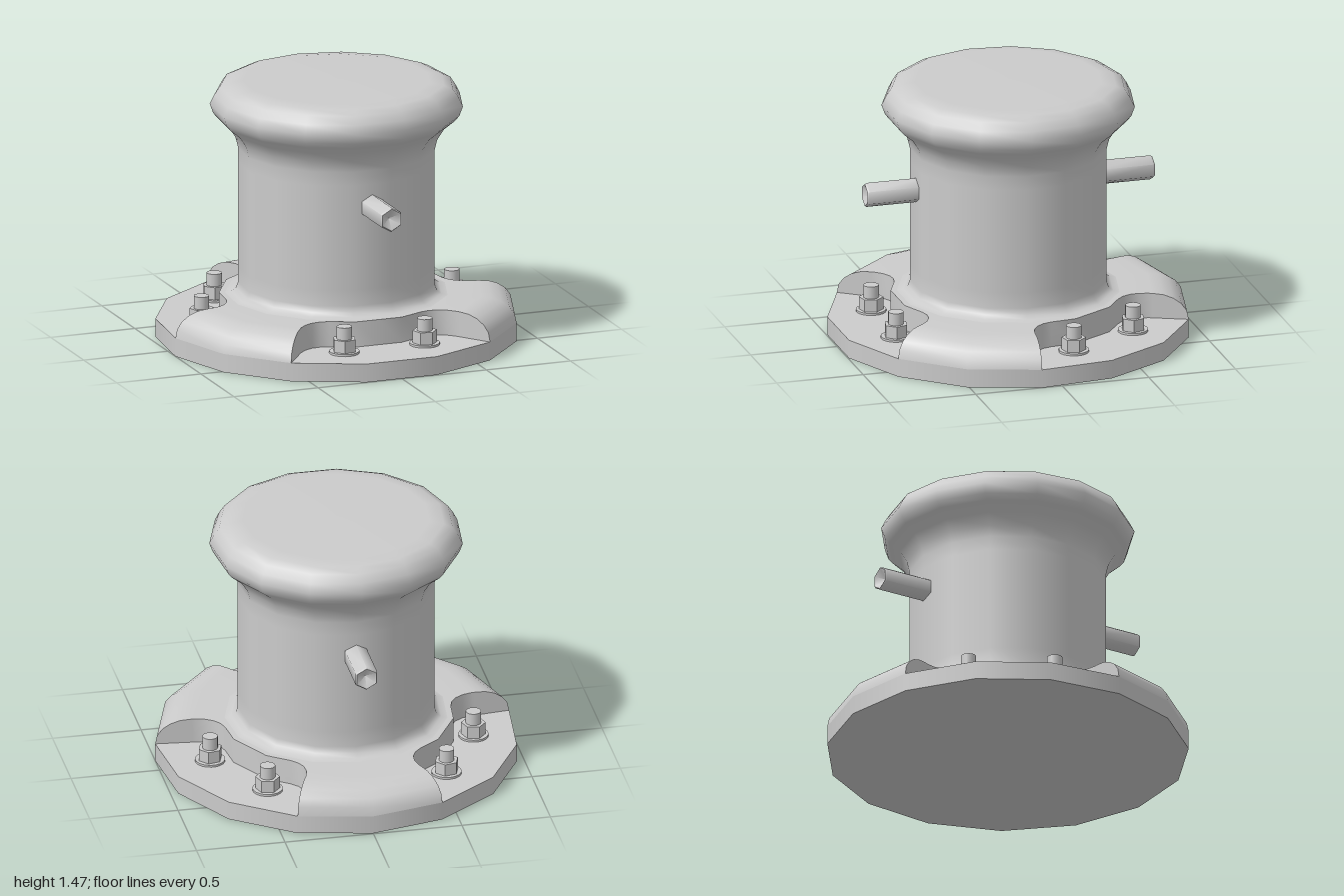
import * as THREE from 'three';
import { toCreasedNormals } from 'three/addons/utils/BufferGeometryUtils.js';

const SIDES = 15;
const R = 1.0055; // corner radius of the base
const FLOOR = 0.105; // height of the base plate
const rad = THREE.MathUtils.degToRad;
const material = new THREE.MeshStandardMaterial({ color: 0xcccccc });

function part(name, geometry, parent) {
  const mesh = new THREE.Mesh(geometry, material);
  mesh.name = name;
  parent.add(mesh);
  return mesh;
}

function lathe(points, sides, start) {
  return new THREE.LatheGeometry(points.map(([x, y]) => new THREE.Vector2(x, y)), sides, start);
}

// Rounded shoulder of the flange, from the column outwards: [radius, height]
const shoulder = [
  [0.5, 0.25], [0.62, 0.25], [0.8, 0.248], [0.86, 0.243], [0.915, 0.225],
  [0.96, 0.195], [0.99, 0.155], [1, FLOOR],
];

function shoulderHeight(r) {
  for (let i = 1; i < shoulder.length; i++) {
    const [r0, h0] = shoulder[i - 1], [r1, h1] = shoulder[i];
    if (r <= r1) return h0 + ((h1 - h0) * (r - r0)) / (r1 - r0);
  }
  return FLOOR;
}

// Raised flange: three lobes with straight-walled bolt bays between them
function flangeGeometry() {
  // Half of a bay and half of a lobe: [degrees from bay centre, radius]
  const half = [
    [0, 0.65], [12, 0.65], [25, 0.65], [29.5, 0.66], [33, 0.685], [35.3, 0.73], [36, 0.78],
    ...shoulder.slice(2).map(([r]) => [36, r]), [60, 1],
  ];
  const outline = [];
  for (let bay = 0; bay < 3; bay++) {
    const mirrored = half.slice(1, -1).reverse().map(([a, r]) => [-a, r]);
    for (const [a, r] of [...mirrored, ...half]) outline.push([a + bay * 120, r]);
  }
  const positions = [], index = [];
  const rows = shoulder.length + 1;
  outline.forEach(([angle, edge]) => {
    // Flat sides of the polygon lie a little inside its corner circle
    const local = (((angle + 12) % 24) + 24) % 24 - 12;
    const scale = (R * Math.cos(rad(12))) / Math.cos(rad(local));
    const put = (r, y) => positions.push(r * scale * Math.sin(rad(angle)), y, r * scale * Math.cos(rad(angle)));
    for (const [r] of shoulder) put(Math.min(r, edge), shoulderHeight(Math.min(r, edge)));
    put(edge, FLOOR);
  });
  for (let i = 0; i < outline.length; i++) {
    const j = (i + 1) % outline.length;
    for (let k = 0; k < rows - 1; k++) {
      const a = i * rows + k, d = j * rows + k;
      index.push(a, a + 1, d + 1, a, d + 1, d);
    }
  }
  const geometry = new THREE.BufferGeometry();
  geometry.setAttribute('position', new THREE.Float32BufferAttribute(positions, 3));
  geometry.setIndex(index);
  return toCreasedNormals(geometry, 0.7);
}

export function createModel() {
  const model = new THREE.Group();
  model.name = 'bollard';
  const body = new THREE.Group();
  body.name = 'bollardBody';
  body.position.z = 0.011; // centres the odd-sided outline
  model.add(body);

  // Base plate and flange
  const plate = part('basePlate', new THREE.CylinderGeometry(R, R, FLOOR, SIDES, 1, false, Math.PI), body);
  plate.position.y = FLOOR / 2;
  part('flange', flangeGeometry(), body);

  // Column with foot fillet, flared neck and rounded head
  part('column', lathe([
    [0.62, 0.25], [0.585, 0.256], [0.56, 0.275], [0.547, 0.31], [0.547, 0.4], [0.547, 1.0],
    [0.547, 1.08], [0.562, 1.14], [0.6, 1.2], [0.66, 1.25], [0.685, 1.28], [0.705, 1.335],
    [0.68, 1.385], [0.65, 1.43], [0.6, 1.453], [0.52, 1.464], [0, 1.465],
  ], SIDES, Math.PI), body);

  // Hexagonal pins with dished ends
  const pinGeometry = toCreasedNormals(lathe([
    [0.07, 0.48], [0.07, 0.82], [0.063, 0.83], [0.052, 0.825], [0, 0.785],
  ], 6, 0), 1.1);
  for (const side of [1, -1]) {
    const pin = part(side > 0 ? 'frontPin' : 'backPin', pinGeometry, body);
    pin.rotation.x = (side * Math.PI) / 2;
    pin.position.y = 0.87;
  }

  // Two bolts in each bay
  const washer = new THREE.CylinderGeometry(0.084, 0.084, 0.012, 20);
  const nut = toCreasedNormals(new THREE.CylinderGeometry(0.068, 0.068, 0.07, 6), 0.5);
  const stud = new THREE.CylinderGeometry(0.043, 0.043, 0.15, 16);
  for (let bay = 0; bay < 3; bay++) {
    for (const side of [-1, 1]) {
      const angle = rad(bay * 120 + side * 18.3);
      const bolt = new THREE.Group();
      bolt.name = 'bolt';
      bolt.position.set(0.76 * Math.sin(angle), FLOOR, 0.76 * Math.cos(angle));
      bolt.rotation.y = angle;
      part('washer', washer, bolt).position.y = 0.006;
      part('nut', nut, bolt).position.y = 0.047;
      part('stud', stud, bolt).position.y = 0.077;
      body.add(bolt);
    }
  }
  return model;
}
